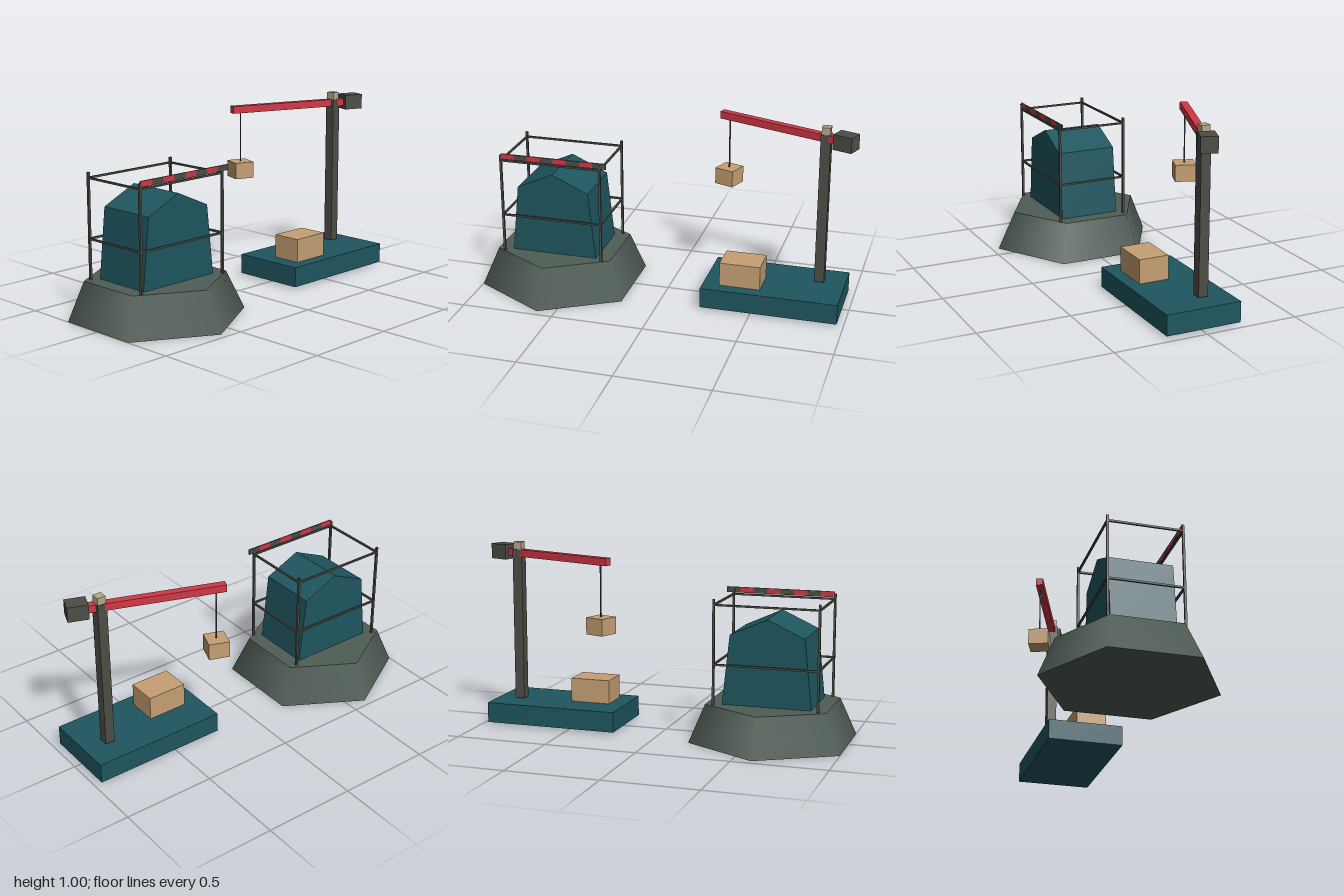
import * as THREE from 'three';

const paint = (color) => new THREE.MeshStandardMaterial({ color });
const TEAL = paint(0x1f5660), STONE = paint(0x4f5d55), STEEL = paint(0x4c4e46);
const RED = paint(0xd03845), WOOD = paint(0xc6a074), CAP = paint(0xb5a888);

// Box given by its size and centre
function box(parent, name, material, [w, h, d], [x, y, z]) {
  const mesh = new THREE.Mesh(new THREE.BoxGeometry(w, h, d), material);
  mesh.name = name;
  mesh.position.set(x, y, z);
  parent.add(mesh);
  return mesh;
}

function createShelter() {
  const shelter = new THREE.Group();
  shelter.name = 'shelter';
  shelter.position.x = -0.598;

  // Hexagonal mound, its top set slightly back
  const moundGeo = new THREE.CylinderGeometry(0.37, 0.462, 0.205, 6);
  const p = moundGeo.attributes.position;
  for (let i = 0; i < p.count; i++) if (p.getY(i) > 0) p.setZ(i, p.getZ(i) - 0.01);
  const mound = new THREE.Mesh(moundGeo, STONE);
  mound.name = 'mound';
  mound.position.y = 0.1025;
  shelter.add(mound);

  // Tapered hut with a gable roof
  const outline = [[-0.238, 0.2], [0.238, 0.2], [0.198, 0.575], [0, 0.665], [-0.198, 0.575]];
  const profile = new THREE.Shape(outline.map(([x, y]) => new THREE.Vector2(x, y)));
  const hutGeo = new THREE.ExtrudeGeometry(profile, { depth: 0.332, bevelEnabled: false });
  const hut = new THREE.Mesh(hutGeo, TEAL);
  hut.name = 'hut';
  hut.position.z = -0.168;
  shelter.add(hut);

  // Railing: four posts and two rings of rails
  const railing = new THREE.Group();
  railing.name = 'railing';
  shelter.add(railing);
  const hx = 0.277, hz = 0.193, t = 0.012;
  for (const s of [-1, 1]) {
    for (const r of [-1, 1]) box(railing, 'post', STEEL, [t, 0.56, t], [s * hx, 0.48, r * hz]);
    for (const y of [0.418, 0.731]) {
      box(railing, 'sideRail', STEEL, [0.01, 0.01, 2 * hz], [s * hx, y, 0]);
      box(railing, 'crossRail', STEEL, [2 * hx, 0.01, 0.01], [0, y, s * hz]);
    }
  }

  // Striped barrier board across the front
  const barrier = new THREE.Group();
  barrier.name = 'barrier';
  shelter.add(barrier);
  const step = 0.0735;
  for (let i = 0; i < 8; i++) {
    box(barrier, 'stripe', i % 2 ? STEEL : RED, [step, 0.03, 0.008], [-0.274 + (i + 0.5) * step, 0.755, 0.194]);
  }
  return shelter;
}

function createCrane() {
  const crane = new THREE.Group();
  crane.name = 'crane';
  box(crane, 'platform', TEAL, [0.735, 0.11, 0.41], [0.5975, 0.067, -0.002]);
  box(crane, 'platformCrate', WOOD, [0.22, 0.13, 0.165], [0.43, 0.187, 0.053]);

  // Mast and its cap
  const mx = 0.827, mz = -0.057;
  box(crane, 'mast', STEEL, [0.053, 0.83, 0.053], [mx, 0.545, mz]);
  box(crane, 'mastCap', CAP, [0.046, 0.045, 0.046], [mx, 0.9775, mz]);

  // Swung arm with counterweight, cable and load
  const arm = new THREE.Group();
  arm.name = 'arm';
  arm.position.set(mx, 0, mz);
  arm.rotation.y = -THREE.MathUtils.degToRad(20);
  crane.add(arm);
  box(arm, 'jib', RED, [0.71, 0.04, 0.04], [-0.285, 0.94, 0]);
  box(arm, 'counterweight', STEEL, [0.107, 0.082, 0.086], [0.114, 0.941, 0]);
  box(arm, 'cable', STEEL, [0.006, 0.28, 0.006], [-0.589, 0.782, 0]);
  box(arm, 'hangingCrate', WOOD, [0.11, 0.09, 0.11], [-0.589, 0.601, 0]);
  return crane;
}

export function createModel() {
  const model = new THREE.Group();
  model.name = 'shelterAndCrane';
  model.add(createShelter(), createCrane());
  return model;
}
